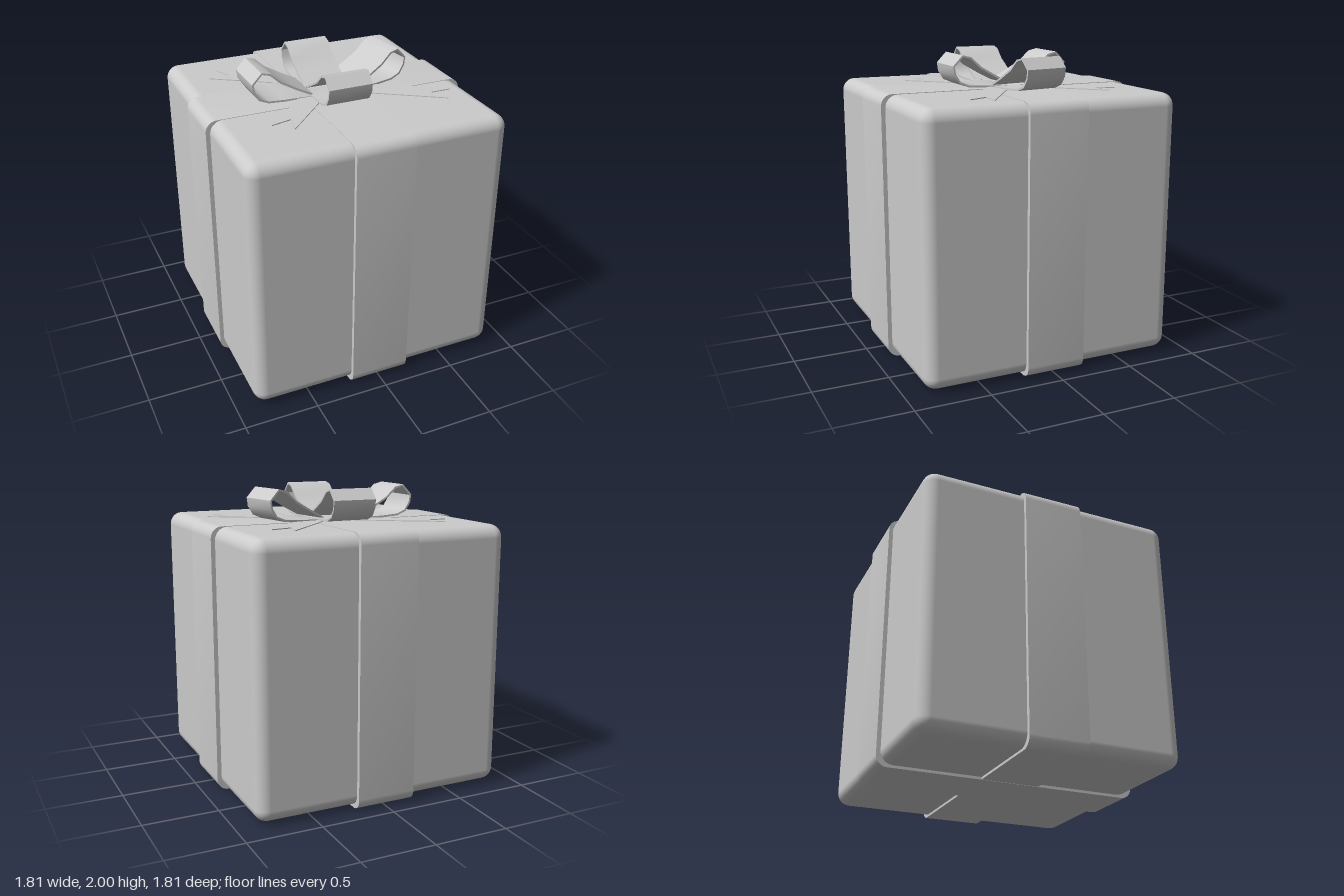
import * as THREE from 'three';
import { toCreasedNormals } from 'three/addons/utils/BufferGeometryUtils.js';
import { RoundedBoxGeometry } from 'three/addons/geometries/RoundedBoxGeometry.js';

const grey = new THREE.MeshStandardMaterial({ color: 0xcccccc });

function addMesh(parent, name, geometry) {
  const mesh = new THREE.Mesh(geometry, grey);
  mesh.name = name;
  parent.add(mesh);
  return mesh;
}

// Extrude a shape along z, centred, keeping sharp edges sharp
function slab(shape, depth, curveSegments = 4) {
  const g = new THREE.ExtrudeGeometry(shape, { depth, bevelEnabled: false, curveSegments });
  return toCreasedNormals(g.translate(0, 0, -depth / 2), 0.8);
}

// Rounded rectangle traced on a Shape or Path
function roundedRect(path, x0, y0, x1, y1, r) {
  path.moveTo(x0 + r, y0);
  path.absarc(x1 - r, y0 + r, r, -Math.PI / 2, 0);
  path.absarc(x1 - r, y1 - r, r, 0, Math.PI / 2);
  path.absarc(x0 + r, y1 - r, r, Math.PI / 2, Math.PI);
  path.absarc(x0 + r, y0 + r, r, Math.PI, Math.PI * 1.5);
  return path;
}

// Band of ribbon wrapped around the box
function bandGeometry(bottom, top) {
  const shape = roundedRect(new THREE.Shape(), -0.903, bottom, 0.903, top, 0.075);
  shape.holes.push(roundedRect(new THREE.Path(), -0.865, 0.04, 0.865, 1.75, 0.07));
  return slab(shape, 0.4);
}

// Bow loop: a strip that leaves the knot along the lid, curls up and returns
function loopGeometry() {
  const outer = [
    [0, 1.78], [0.2, 1.78], [0.31, 1.788], [0.375, 1.815], [0.412, 1.872], [0.42, 1.93],
    [0.353, 2], [0.29, 1.985], [0.22, 1.92], [0.11, 1.857], [0, 1.8],
  ].map(([x, y]) => new THREE.Vector2(x, y));
  const inner = outer.map((p, i) => {
    const a = outer[Math.max(i - 1, 0)], b = outer[Math.min(i + 1, outer.length - 1)];
    const t = b.clone().sub(a).normalize();
    return new THREE.Vector2(p.x - t.y * 0.013, p.y + t.x * 0.013);
  });
  // keep the two strips from crossing at the knot
  inner[0].set(0.015, 1.787);
  inner[inner.length - 1].set(0.02, 1.797);
  return slab(new THREE.Shape([...outer, ...inner.reverse()]), 0.3);
}

// Flat tail with a swallowtail notch
function tailGeometry(length) {
  const w = 0.076;
  const shape = new THREE.Shape([[0, -w], [length, -w], [length - 0.12, 0], [length, w], [0, w]]
    .map(([x, y]) => new THREE.Vector2(x, y)));
  return slab(shape, 0.006).rotateX(-Math.PI / 2);
}

export function createModel() {
  const model = new THREE.Group();
  model.name = 'giftBox';

  // Box
  addMesh(model, 'box', new RoundedBoxGeometry(1.75, 1.757, 1.75, 4, 0.085)).position.y = 0.8965;

  // Crossed ribbon bands
  addMesh(model, 'ribbonBandSide', bandGeometry(0.002, 1.778));
  addMesh(model, 'ribbonBandFront', bandGeometry(0, 1.779)).rotation.y = Math.PI / 2;

  // Bow loops: name, knot x, knot z, heading
  const bow = new THREE.Group();
  bow.name = 'bow';
  model.add(bow);
  const loop = loopGeometry();
  [
    ['leftLoop', 0.125, -0.03, 0.165],
    ['rightLoop', -0.14, -0.045, Math.PI + 0.01],
    ['backLoop', 0, -0.015, Math.PI / 2],
    ['frontLoop', 0, -0.03, -Math.PI / 2],
  ].forEach(([name, x, z, heading]) => {
    const mesh = addMesh(bow, name, loop);
    mesh.position.set(x, 0, z);
    mesh.rotation.y = heading;
  });

  // Tails: name, start x, z, end x, z
  [
    ['backRightTail', 0, -0.12, -0.626, -0.525],
    ['backLeftTail', 0, 0.01, 0.56, -0.572],
    ['frontLeftTail', 0, -0.036, 0.698, 0.42],
    ['frontRightTail', 0, -0.043, -0.49, 0.468],
  ].forEach(([name, x0, z0, x1, z1], i) => {
    const mesh = addMesh(bow, name, tailGeometry(Math.hypot(x1 - x0, z1 - z0)));
    mesh.position.set(x0, 1.78 + i * 0.0005, z0);
    mesh.rotation.y = Math.atan2(z0 - z1, x1 - x0);
  });

  return model;
}
